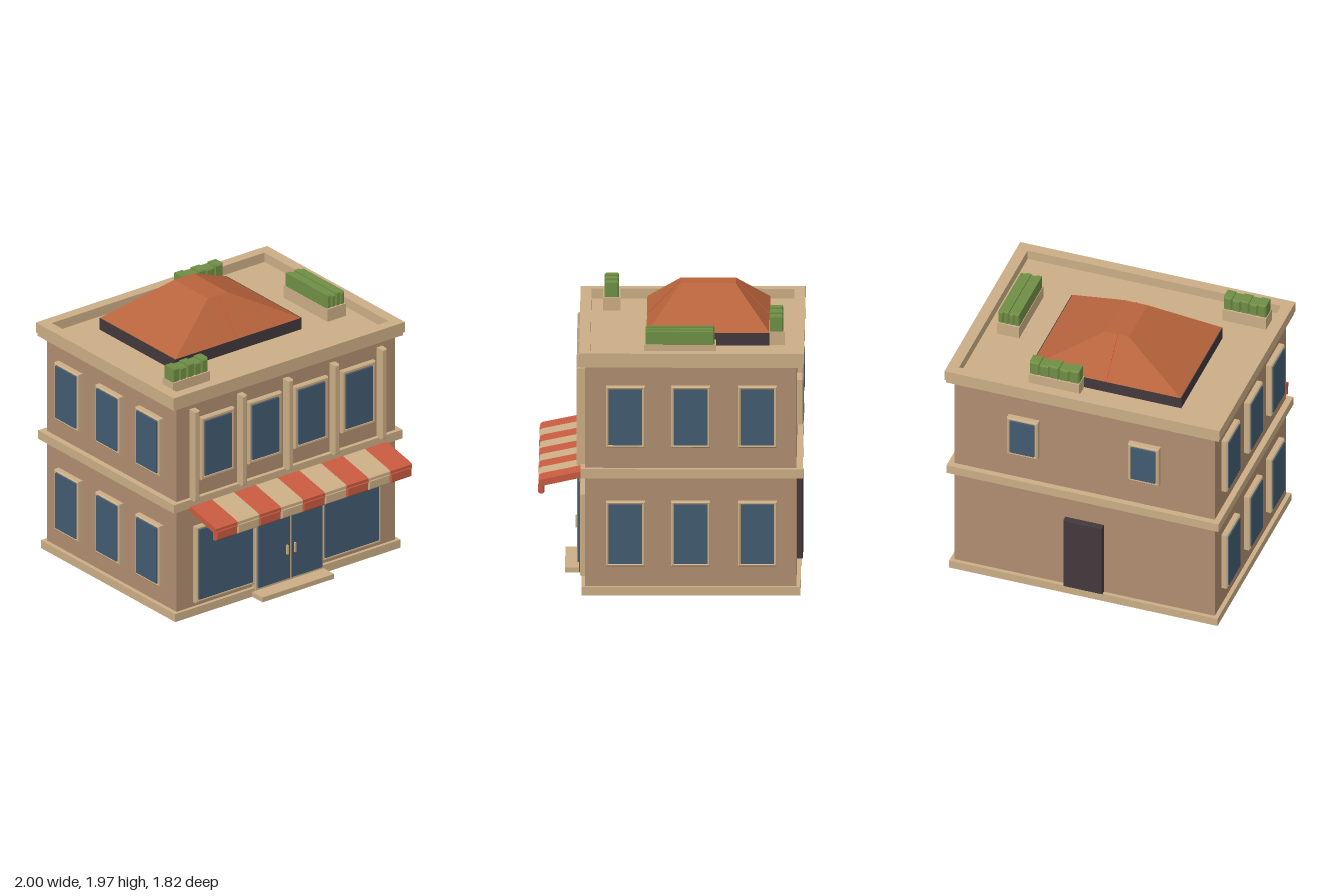
import * as THREE from 'three';

const mat = (name, color) => {
  const m = new THREE.MeshStandardMaterial({ color });
  m.name = name;
  return m;
};

export function createModel() {
  const wall = mat('wall brown', 0xb08d70), trim = mat('sandstone trim', 0xcbae86);
  const glass = mat('window blue', 0x425b70), tile = mat('roof terracotta', 0xb8643c);
  const red = mat('awning red', 0xc95b41), leaf = mat('hedge green', 0x6f8f45);
  const dark = mat('dark door', 0x42383c);
  const model = new THREE.Group();
  model.name = 'shopBuilding';

  const add = (name, geo, material, parent = model) => {
    const m = new THREE.Mesh(geo, material);
    m.name = name;
    parent.add(m);
    return m;
  };
  // Box given by its minimum and maximum on each axis
  const box = (name, material, x0, x1, y0, y1, z0, z1, parent = model) => {
    const m = add(name, new THREE.BoxGeometry(x1 - x0, y1 - y0, z1 - z0), material, parent);
    m.position.set((x0 + x1) / 2, (y0 + y1) / 2, (z0 + z1) / 2);
    return m;
  };
  const rect = (P, x0, x1, y0, y1) => {
    const p = new P();
    p.moveTo(x0, y0); p.lineTo(x1, y0); p.lineTo(x1, y1); p.lineTo(x0, y1); p.closePath();
    return p;
  };
  // Box with chamfered edges
  const chamfer = (name, material, x0, x1, y0, y1, z0, z1, c, parent = model) => {
    const g = new THREE.ExtrudeGeometry(rect(THREE.Shape, x0 + c, x1 - c, y0 + c, y1 - c), {
      depth: z1 - z0 - 2 * c, bevelThickness: c, bevelSize: c, bevelSegments: 1 });
    g.translate(0, 0, z0 + c);
    return add(name, g, material, parent);
  };
  // Chamfered frame with a glass pane, facing +z, standing on z = 0
  const windowUnit = (name, w, h, border, depth = 0.035) => {
    const g = new THREE.Group(), c = 0.008;
    g.name = name;
    const s = rect(THREE.Shape, -w / 2 + c, w / 2 - c, -h / 2 + c, h / 2 - c);
    const a = w / 2 - border + c, b = h / 2 - border + c;
    s.holes.push(rect(THREE.Path, -a, a, -b, b));
    add('windowFrame', new THREE.ExtrudeGeometry(s, {
      depth: depth - c, bevelThickness: c, bevelSize: c, bevelSegments: 1 }), trim, g);
    box('windowGlass', glass, -w / 2 + border, w / 2 - border, -h / 2 + border, h / 2 - border,
      0, depth + 0.005, g);
    model.add(g);
    return g;
  };

  const FRONT = 0.59, BACK = -0.857, SIDE = 0.945;

  // Walls, plinth, step and floor band
  box('walls', wall, -SIDE, SIDE, 0.03, 1.62, BACK, FRONT);
  box('plinth', trim, -0.975, 0.975, 0, 0.06, -0.885, 0.615);
  box('frontStep', trim, -0.31, 0.31, 0, 0.036, 0.6, 0.73);
  box('floorBand', trim, -0.988, 0.988, 0.825, 0.89, -0.9, 0.62);

  // Cornice, parapet ring and roof terrace
  box('cornice', trim, -0.992, 0.992, 1.605, 1.635, -0.902, 0.622);
  const ring = rect(THREE.Shape, -1, 1, -0.63, 0.91);
  ring.holes.push(rect(THREE.Path, -0.92, 0.92, -0.555, 0.835));
  const ringGeo = new THREE.ExtrudeGeometry(ring, { depth: 0.075, bevelEnabled: false });
  ringGeo.rotateX(-Math.PI / 2);
  add('parapet', ringGeo, trim).position.y = 1.63;

  // Upper front windows and pilasters
  for (const x of [-0.61, -0.2, 0.2, 0.61])
    windowUnit('upperFrontWindow', 0.29, 0.47, 0.03).position.set(x, 1.245, FRONT);
  for (const x of [-0.81, -0.4, 0, 0.4, 0.81])
    chamfer('pilaster', trim, x - 0.023, x + 0.023, 0.88, 1.56, FRONT - 0.02, 0.65, 0.008);

  // Shop windows
  for (const s of [-1, 1])
    windowUnit('shopWindow', 0.51, 0.575, 0.024).position.set(s * 0.545, 0.38, FRONT);

  // Double entrance door
  box('doorSurround', trim, -0.29, 0.29, 0.045, 0.7, FRONT - 0.02, 0.63);
  for (const s of [-1, 1]) {
    box('entranceDoorGlass', glass, s < 0 ? -0.275 : 0.006, s < 0 ? -0.006 : 0.275,
      0.066, 0.685, 0.62, 0.645);
    const x = s * 0.033;
    box('doorHandle', trim, x - 0.006, x + 0.006, 0.255, 0.325, 0.644, 0.66);
  }
  box('doorMullion', trim, -0.006, 0.006, 0.066, 0.685, 0.62, 0.648);

  // Side windows on both floors
  for (const s of [-1, 1])
    for (const z of [0.313, -0.133, -0.59])
      for (const [y, h] of [[1.255, 0.43], [0.433, 0.455]]) {
        const w = windowUnit('sideWindow', 0.268, h, 0.02, 0.044);
        w.position.set(s * SIDE, y, z);
        w.rotation.y = s * Math.PI / 2;
      }

  // Back windows and back door
  for (const x of [-0.44, 0.44]) {
    const w = windowUnit('backWindow', 0.225, 0.315, 0.024, 0.044);
    w.position.set(x, 1.258, BACK);
    w.rotation.y = Math.PI;
  }
  chamfer('backDoor', dark, -0.14, 0.14, 0.062, 0.635, -0.898, BACK + 0.02, 0.006);

  // Striped awning: sloping panel and hanging valance for each stripe
  const slope = new THREE.Shape([[0.58, 0.805], [0.87, 0.742], [0.905, 0.742], [0.905, 0.775],
    [0.885, 0.785], [0.58, 0.848]].map(p => new THREE.Vector2(...p)));
  const STRIPES = 9, stripeW = 1.7 / STRIPES;
  for (let i = 0; i < STRIPES; i++) {
    const x0 = -0.85 + i * stripeW, m = i % 2 ? trim : red;
    const g = new THREE.ExtrudeGeometry(slope, { depth: stripeW, bevelEnabled: false });
    g.rotateY(-Math.PI / 2);
    add('awningStripe', g, m).position.x = x0 + stripeW;
    chamfer('awningValance', m, x0, x0 + stripeW, 0.685, 0.76, 0.868, 0.91, 0.01);
  }

  // Hipped roof with a flat top on a dark base
  box('roofBase', dark, -0.635, 0.462, 1.62, 1.722, -0.67, 0.17);
  const hip = new THREE.BoxGeometry(1, 1, 1).toNonIndexed(), p = hip.attributes.position;
  for (let i = 0; i < p.count; i++) {
    const top = p.getY(i) > 0, right = p.getX(i) > 0, near = p.getZ(i) > 0;
    p.setXYZ(i, top ? (right ? 0 : -0.17) : (right ? 0.457 : -0.63), top ? 1.963 : 1.722,
      top ? (near ? -0.06 : -0.437) : (near ? 0.172 : -0.672));
  }
  hip.computeVertexNormals();
  add('hippedRoof', hip, tile);
  for (const s of [-1, 1]) {
    const rib = add('roofRib', new THREE.BoxGeometry(0.009, 0.008, 0.333), red);
    rib.position.set(-0.087, 1.843, -0.25 + s * 0.306);
    rib.rotation.x = s * Math.atan2(0.241, 0.233);
  }

  // Planters with clipped hedges, split into a row of bushes along x
  const planter = (x0, x1, z0, z1, n) => {
    box('planter', trim, x0 - 0.004, x1 + 0.004, 1.62, 1.728, z0 - 0.01, z1 + 0.01);
    const w = (x1 - x0) / n;
    for (let i = 0; i < n; i++)
      chamfer('hedgeBush', leaf, x0 + i * w, x0 + (i + 1) * w, 1.72, 1.828 - (i % 2) * 0.01,
        z0, z1, 0.01);
  };
  planter(-0.88, -0.57, 0.365, 0.465, 5);
  planter(0.075, 0.435, -0.765, -0.67, 5);
  planter(0.677, 0.83, -0.295, 0.178, 4);

  return model;
}
